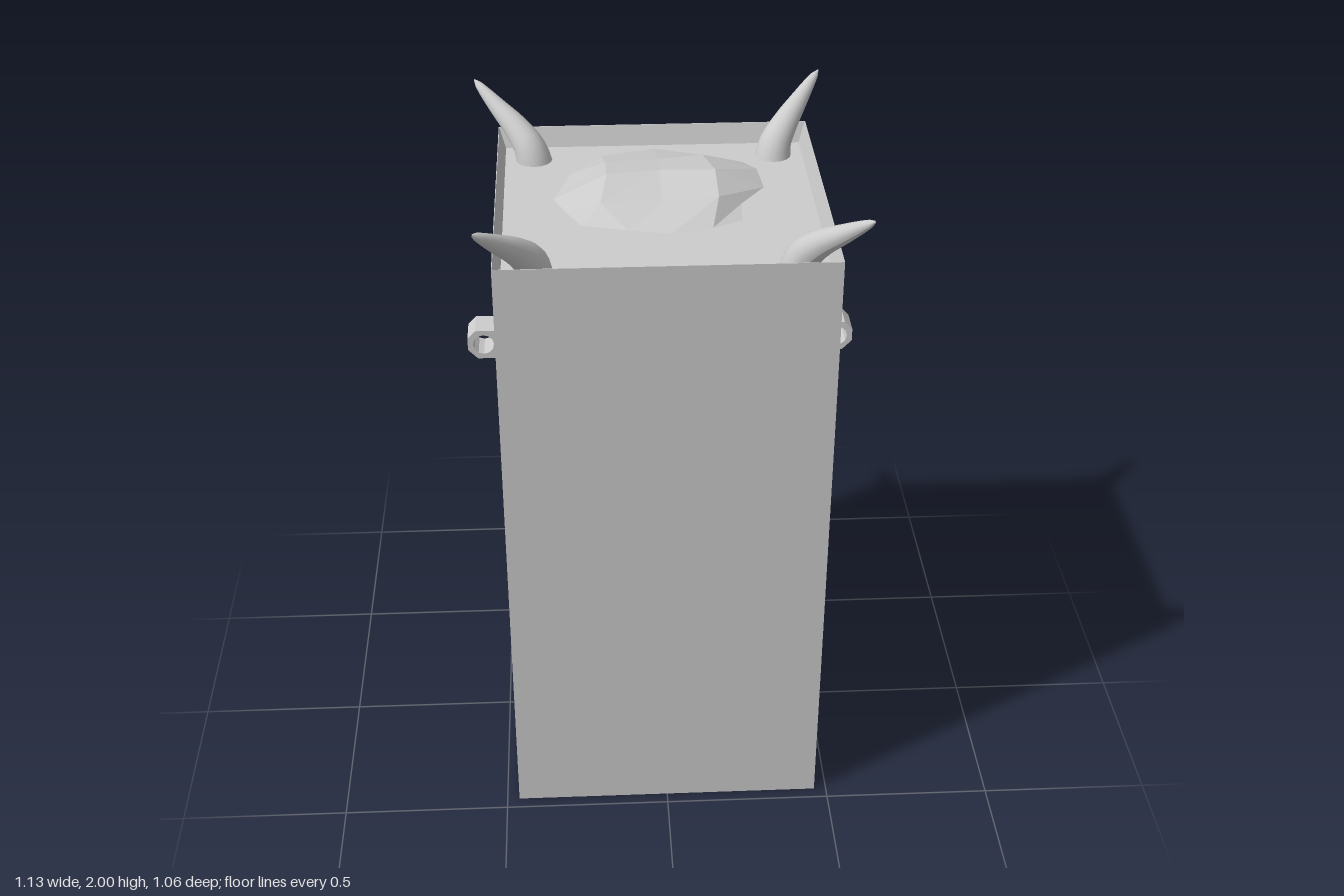
import * as THREE from 'three';

export function createModel() {
  const model = new THREE.Group();
  const grey = new THREE.MeshStandardMaterial({ color: 0xcccccc });
  const greyTwoSided = new THREE.MeshStandardMaterial({ color: 0xcccccc, side: THREE.DoubleSide });
  grey.name = 'grey';
  greyTwoSided.name = 'greyTwoSided';

  const add = (name, geometry, material = grey) => {
    const mesh = new THREE.Mesh(geometry, material);
    mesh.name = name;
    model.add(mesh);
    return mesh;
  };
  const faceted = (geometry) => {
    const flat = geometry.toNonIndexed();
    flat.computeVertexNormals();
    return flat;
  };

  // Hollow square body, open below, with a sunken lid and sloping inner lip
  const profile = [
    [0, 1.74], [0.447, 1.74], [0.447, 0], [0.463, 0],
    [0.463, 1.86], [0.461, 1.86], [0.443, 1.8], [0, 1.8],
  ].map(([half, y]) => new THREE.Vector2(half * Math.SQRT2, y));
  add('body', faceted(new THREE.LatheGeometry(profile, 4, Math.PI / 4)));

  // Faceted draped cover over the lid: rows from back to front, each point x, y, z
  const cover = [
    -0.22, 1.85, -0.25, -0.16, 1.855, -0.25, 0, 1.85, -0.305, 0.11, 1.86, -0.24, 0.25, 1.845, -0.21,
    -0.25, 1.86, -0.12, -0.15, 1.888, -0.13, 0, 1.888, -0.15, 0.13, 1.893, -0.16, 0.285, 1.855, -0.14,
    -0.3, 1.855, 0.035, -0.15, 1.912, 0, 0, 1.908, -0.03, 0.155, 1.92, 0, 0.295, 1.855, -0.015,
    -0.27, 1.86, 0.12, -0.17, 1.89, 0.14, 0, 1.89, 0.14, 0.155, 1.905, 0.145, 0.22, 1.865, 0.11,
    -0.225, 1.865, 0.225, -0.1, 1.873, 0.275, 0.015, 1.88, 0.315, 0.13, 1.878, 0.28, 0.215, 1.865, 0.215,
  ];
  const sheet = new THREE.PlaneGeometry(1, 1, 4, 4);
  sheet.setAttribute('position', new THREE.Float32BufferAttribute(cover, 3));
  add('cover', faceted(sheet), greyTwoSided);

  // Curved horn: a tube whose rings shrink toward the tip
  const path = new THREE.CatmullRomCurve3([
    [0.355, 1.775, 0.355], [0.367, 1.83, 0.362], [0.408, 1.885, 0.398],
    [0.458, 1.93, 0.44], [0.502, 1.97, 0.478], [0.53, 1.996, 0.504],
  ].map((p) => new THREE.Vector3(...p)));
  const rings = 16, sides = 16;
  const horn = new THREE.TubeGeometry(path, rings, 1, sides);
  const point = new THREE.Vector3();
  for (let i = 0; i <= rings; i++) {
    const t = i / rings;
    const centre = path.getPointAt(t);
    const radius = 0.055 * Math.sqrt(1 - t) * (1 - 0.35 * t) + 0.002;
    for (let j = 0; j <= sides; j++) {
      const k = i * (sides + 1) + j;
      point.fromBufferAttribute(horn.attributes.position, k).sub(centre).multiplyScalar(radius).add(centre);
      horn.attributes.position.setXYZ(k, point.x, point.y, point.z);
    }
  }
  horn.computeVertexNormals();
  ['frontLeftHorn', 'backLeftHorn', 'backRightHorn', 'frontRightHorn'].forEach((name, i) => {
    add(name, horn).rotation.y = i * Math.PI / 2;
  });

  // Pierced lugs on both sides
  const lug = new THREE.Shape([
    [0.45, 1.354], [0.535, 1.354], [0.563, 1.383], [0.563, 1.42], [0.54, 1.445], [0.45, 1.445],
  ].map(([x, y]) => new THREE.Vector2(x, y)));
  lug.holes.push(new THREE.Path().absarc(0.517, 1.4, 0.031, 0, Math.PI * 2, true));
  const lugGeometry = new THREE.ExtrudeGeometry(lug, { depth: 0.09, bevelEnabled: false, curveSegments: 6 });
  lugGeometry.translate(0, 0, -0.046);
  add('leftLug', lugGeometry);
  add('rightLug', lugGeometry).rotation.y = Math.PI;

  return model;
}
